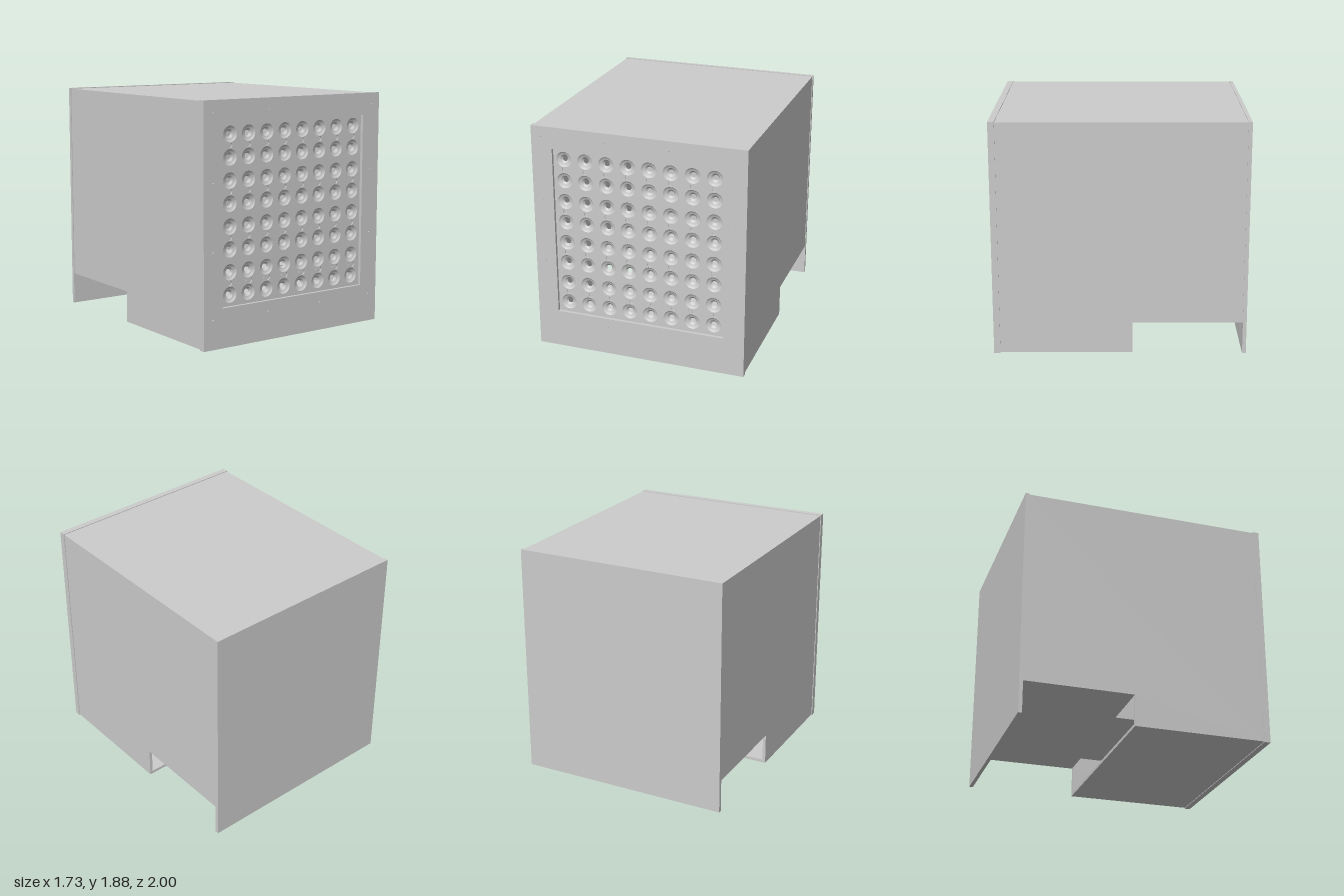
import * as THREE from 'three';

const mat = new THREE.MeshStandardMaterial({ color: 0xcccccc });
const matBoth = new THREE.MeshStandardMaterial({ color: 0xcccccc, side: THREE.DoubleSide });

// Overall sizes
const W = 0.865, H = 1.875, LIP = 0.006, T = 0.025;
const FRONT = 0.95, BACK = -0.97;   // inner limits of the end panels
const NOTCH_Z = -0.1, NOTCH_Y = 0.26;
const FACE = 0.975;                 // front plane of the recessed socket board

function mesh(parent, name, geo, material = mat) {
  const m = new THREE.Mesh(geo, material);
  m.name = name;
  parent.add(m);
  return m;
}

// Box given by its limits
function slab(parent, name, x0, x1, y0, y1, z0, z1) {
  const m = mesh(parent, name, new THREE.BoxGeometry(x1 - x0, y1 - y0, z1 - z0));
  m.position.set((x0 + x1) / 2, (y0 + y1) / 2, (z0 + z1) / 2);
  return m;
}

function rectPath(Type, x0, x1, y0, y1) {
  return new Type([[x0, y0], [x1, y0], [x1, y1], [x0, y1]].map(p => new THREE.Vector2(...p)));
}

function circleHole(x, y, r) {
  return new THREE.Path().absarc(x, y, r, 0, Math.PI * 2, true);
}

function extrude(shape, depth, curveSegments = 12) {
  return new THREE.ExtrudeGeometry(shape, { depth, bevelEnabled: false, curveSegments });
}

export function createModel() {
  const model = new THREE.Group();
  model.name = 'cabinet';

  // Side walls with the rear notch in their lower edge
  const inset = W - LIP;
  const profile = [
    [FRONT, LIP], [NOTCH_Z, LIP], [NOTCH_Z, NOTCH_Y], [BACK, NOTCH_Y],
    [BACK, H - LIP], [FRONT, H - LIP],
  ].map(([z, y]) => new THREE.Vector2(-z, y));
  for (const [name, x] of [['leftWall', inset - T], ['rightWall', -inset]]) {
    const geo = extrude(new THREE.Shape(profile), T).rotateY(Math.PI / 2);
    mesh(model, name, geo).position.x = x;
  }

  // Top, bottom and back
  const inner = inset - T;
  slab(model, 'topPanel', -inner, inner, H - LIP - T, H - LIP, BACK, FRONT);
  slab(model, 'bottomPanel', -inner, inner, LIP, LIP + T, NOTCH_Z, FRONT);
  slab(model, 'backPanel', -W, W, 0, H, -1, BACK);

  // Raised floor over the notch, and a narrower shelf running forward from it
  slab(model, 'raisedFloor', -inner, inner, NOTCH_Y, NOTCH_Y + T, BACK, NOTCH_Z);
  slab(model, 'innerShelf', -0.38, 0.59, NOTCH_Y, NOTCH_Y + T, NOTCH_Z, FRONT);

  // Front frame with its window and screw holes
  const frame = rectPath(THREE.Shape, -W, W, 0, H);
  frame.holes.push(rectPath(THREE.Path, -0.695, 0.695, 0.31, 1.70));
  const rows = [0.23, 0.745, 1.265, 1.79];
  for (const x of [-0.78, -0.26, 0.26, 0.78]) {
    rows.forEach((y, i) => {
      const onEdge = Math.abs(x) > 0.5 || i === 0 || i === 3;
      if (onEdge) frame.holes.push(circleHole(x, y, 0.006));
    });
  }
  mesh(model, 'frontFrame', extrude(frame, 1 - FRONT)).position.z = FRONT;

  // Recessed board, pierced for an 8 by 8 grid of sockets and the small lamps between them
  const board = rectPath(THREE.Shape, -0.695, 0.695, 0.31, 1.70);
  const sockets = [], lamps = [];
  for (let c = 0; c < 8; c++) {
    const x = (c - 3.5) * 0.1735;
    for (let r = 0; r < 8; r++) sockets.push([x, 0.398 + r * 0.174]);
    for (let p = 0; p < 4; p++) {
      const shifted = p === 0 && c > 0;
      lamps.push([x + (shifted ? 0.018 : 0), 0.487 + p * 0.348]);
      if (shifted) board.holes.push(circleHole(x - 0.022, 0.493, 0.006));
    }
  }
  for (const [x, y] of sockets) board.holes.push(circleHole(x, y, 0.062));
  for (const [x, y] of lamps) board.holes.push(circleHole(x, y, 0.021));
  mesh(model, 'socketBoard', extrude(board, FACE - FRONT, 16)).position.z = FRONT;

  // Stepped funnels, open in the middle
  const funnel = [[0.02, -0.028], [0.034, -0.016], [0.038, -0.012], [0.05, -0.012], [0.062, 0]];
  const funnelGeo = new THREE.LatheGeometry(funnel.map(p => new THREE.Vector2(...p)), 32)
    .rotateX(Math.PI / 2);
  const socketGroup = new THREE.Group();
  socketGroup.name = 'sockets';
  model.add(socketGroup);
  for (const [x, y] of sockets) {
    mesh(socketGroup, 'socket', funnelGeo, matBoth).position.set(x, y, FACE);
  }

  // Small lamps sunk in the board
  const lampGeo = new THREE.CylinderGeometry(0.021, 0.021, 0.01, 24).rotateX(Math.PI / 2);
  const lampGroup = new THREE.Group();
  lampGroup.name = 'lamps';
  model.add(lampGroup);
  for (const [x, y] of lamps) {
    mesh(lampGroup, 'lamp', lampGeo).position.set(x, y, FACE - 0.015);
  }

  return model;
}
